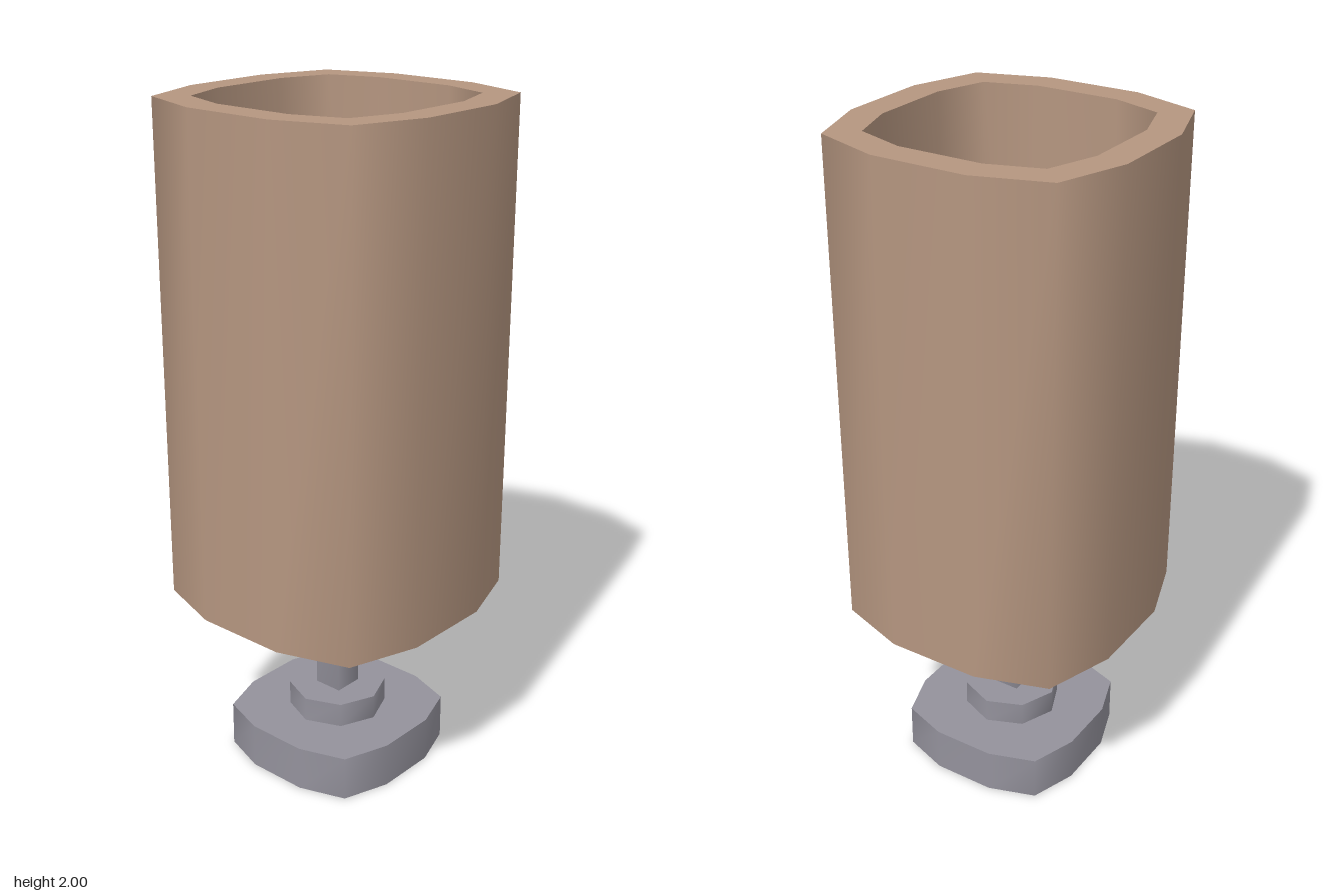
import * as THREE from 'three';

// Mirror one quadrant of [x, z] corners into a closed outline, counter-clockwise
function outline(quadrant) {
  const points = [];
  for (let q = 0; q < 4; q++) {
    const centre = new THREE.Vector2();
    for (const [x, y] of quadrant) {
      points.push(new THREE.Vector2(x, y).rotateAround(centre, q * Math.PI / 2));
    }
  }
  return points;
}

// Smooth upright wall around an outline, open at both ends
function wall(points, y0, y1, inward = false) {
  const positions = [], index = [], n = points.length;
  for (const p of points) positions.push(p.x, y0, -p.y, p.x, y1, -p.y);
  for (let i = 0; i < n; i++) {
    const a = 2 * i, b = 2 * ((i + 1) % n);
    if (inward) index.push(a, b + 1, b, a, a + 1, b + 1);
    else index.push(a, b, b + 1, a, b + 1, a + 1);
  }
  const geometry = new THREE.BufferGeometry();
  geometry.setAttribute('position', new THREE.Float32BufferAttribute(positions, 3));
  geometry.setIndex(index);
  geometry.computeVertexNormals();
  return geometry;
}

// Flat horizontal face, optionally with a hole
function plate(points, y, hole = null, down = false) {
  const shape = new THREE.Shape(points);
  if (hole) shape.holes.push(new THREE.Path(hole));
  return new THREE.ShapeGeometry(shape)
    .rotateX(down ? Math.PI / 2 : -Math.PI / 2)
    .translate(0, y, 0);
}

export function createModel() {
  const model = new THREE.Group();
  const tan = new THREE.MeshStandardMaterial({ color: 0xb59680, side: THREE.DoubleSide });
  tan.name = 'tan shade';
  const grey = new THREE.MeshStandardMaterial({ color: 0x94929c, side: THREE.DoubleSide });
  grey.name = 'grey metal';

  const part = (name, material, geometries) => {
    const group = new THREE.Group();
    group.name = name;
    geometries.forEach((geometry, i) => {
      const mesh = new THREE.Mesh(geometry, material);
      mesh.name = `${name}Surface${i + 1}`;
      group.add(mesh);
    });
    model.add(group);
  };

  // Rounded-square foot, hollow underneath
  const foot = outline([[0.277, 0.093], [0.23, 0.23], [0.093, 0.277]]);
  part('base', grey, [wall(foot, 0, 0.136), plate(foot, 0.136)]);

  // Octagonal collar on the foot
  const collar = outline([[0.147, 0], [0.104, 0.104]]);
  part('collar', grey, [wall(collar, 0.136, 0.21), plate(collar, 0.21)]);

  // Square hollow stem reaching up into the shade
  part('stem', grey, [wall(outline([[0.045, 0.045]]), 0.21, 1.0)]);

  // Thick tubular shade, open at top and bottom
  const outer = outline([[0.417, 0.14], [0.348, 0.348], [0.14, 0.417]]);
  const inner = outline([[0.325, 0.125], [0.275, 0.275], [0.125, 0.325]]);
  part('shade', tan, [
    wall(outer, 0.54, 2),
    wall(inner, 0.54, 2, true),
    plate(outer, 2, inner),
    plate(outer, 0.54, inner, true),
  ]);

  return model;
}
